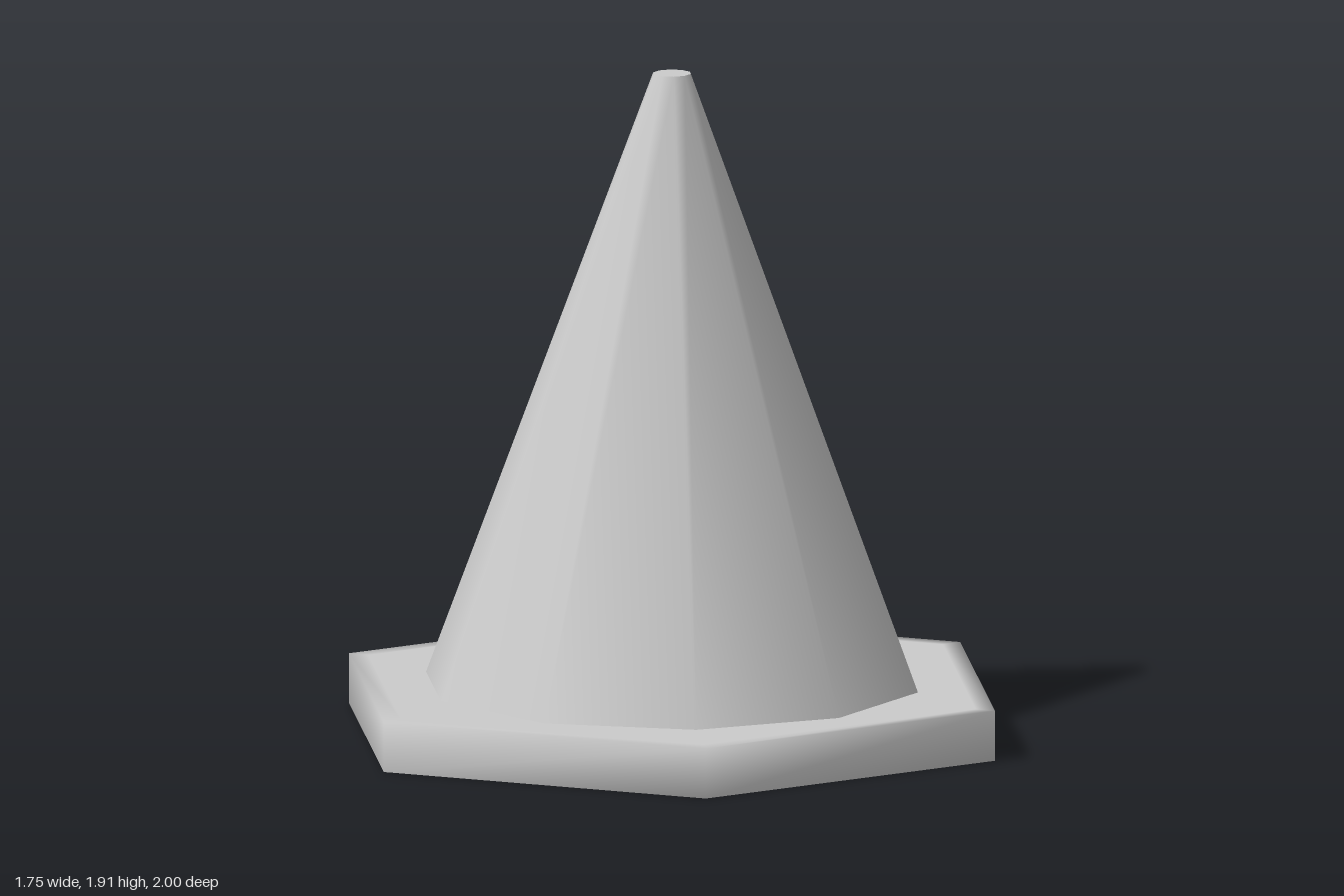
import * as THREE from 'three';

const BASE_HEIGHT = 0.145;
const TOP = 1.913;

// Closed solid from scaled copies of an outline [x, z], stacked as [scale, y] loops
function loopSolid(outline, loops) {
  const n = outline.length;
  const positions = [];
  const index = [];
  for (const [s, y] of loops) for (const [x, z] of outline) positions.push(x * s, y, z * s);
  for (let l = 0; l < loops.length - 1; l++) {
    for (let i = 0; i < n; i++) {
      const j = (i + 1) % n;
      const a = l * n + i, b = l * n + j, c = a + n, d = b + n;
      index.push(a, b, d, a, d, c);
    }
  }
  // Centre points closing the bottom and the top
  const bottom = loops.length * n;
  const last = bottom - n;
  positions.push(0, loops[0][1], 0, 0, loops[loops.length - 1][1], 0);
  for (let i = 0; i < n; i++) {
    const j = (i + 1) % n;
    index.push(bottom, j, i, bottom + 1, last + i, last + j);
  }
  const geometry = new THREE.BufferGeometry();
  geometry.setAttribute('position', new THREE.Float32BufferAttribute(positions, 3));
  geometry.setIndex(index);
  geometry.computeVertexNormals();
  return geometry;
}

export function createModel() {
  const group = new THREE.Group();
  group.name = 'trafficCone';
  const material = new THREE.MeshStandardMaterial({ color: 0xcccccc });

  // Six-sided foot; narrow inset loops keep its faces flat and its rim soft
  const hexagon = [[0, 1], [0.875, 0.517], [0.875, -0.517], [0, -1], [-0.875, -0.517], [-0.875, 0.517]];
  const base = new THREE.Mesh(
    loopSolid(hexagon, [[0.97, 0], [1, 0], [1, BASE_HEIGHT], [0.94, BASE_HEIGHT]]),
    material
  );
  base.name = 'base';
  group.add(base);

  // Ten-sided tapered body with a flat tip
  const height = TOP - BASE_HEIGHT;
  const body = new THREE.Mesh(new THREE.CylinderGeometry(0.055, 0.718, height, 10), material);
  body.position.y = BASE_HEIGHT + height / 2;
  body.name = 'coneBody';
  group.add(body);

  return group;
}
